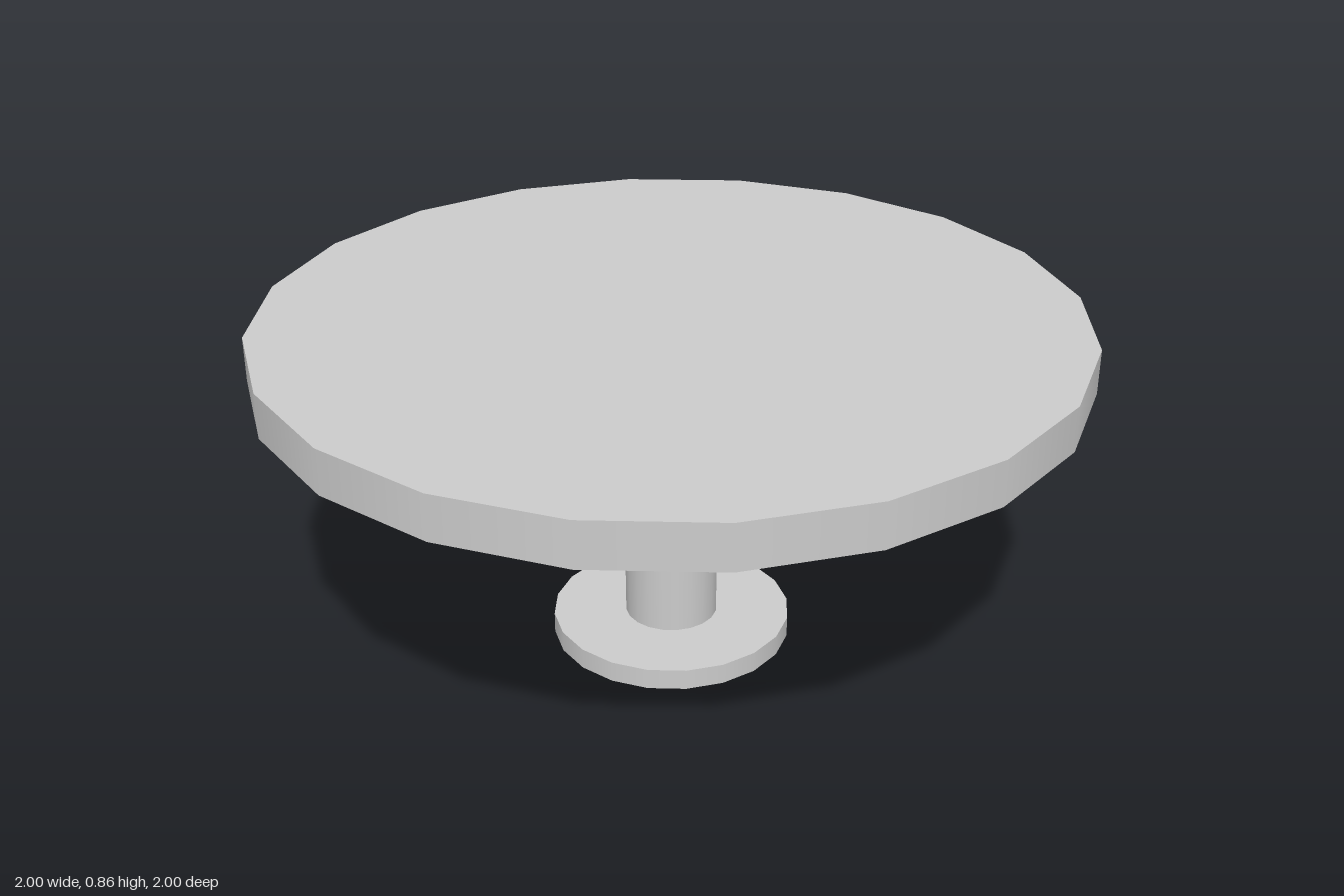
import * as THREE from 'three';

const SIDES = 20;

export function createModel() {
  const group = new THREE.Group();
  const material = new THREE.MeshStandardMaterial({ color: 0xcccccc });

  // Upright disc or column between two heights
  function addRound(name, topRadius, bottomRadius, y0, y1) {
    const geometry = new THREE.CylinderGeometry(topRadius, bottomRadius, y1 - y0, SIDES);
    const mesh = new THREE.Mesh(geometry, material);
    mesh.name = name;
    mesh.position.y = (y0 + y1) / 2;
    group.add(mesh);
  }

  addRound('base', 0.3, 0.3, 0, 0.053);
  // Slightly tapered column
  addRound('column', 0.12, 0.116, 0.053, 0.747);
  addRound('tableTop', 1, 1, 0.747, 0.857);

  return group;
}
